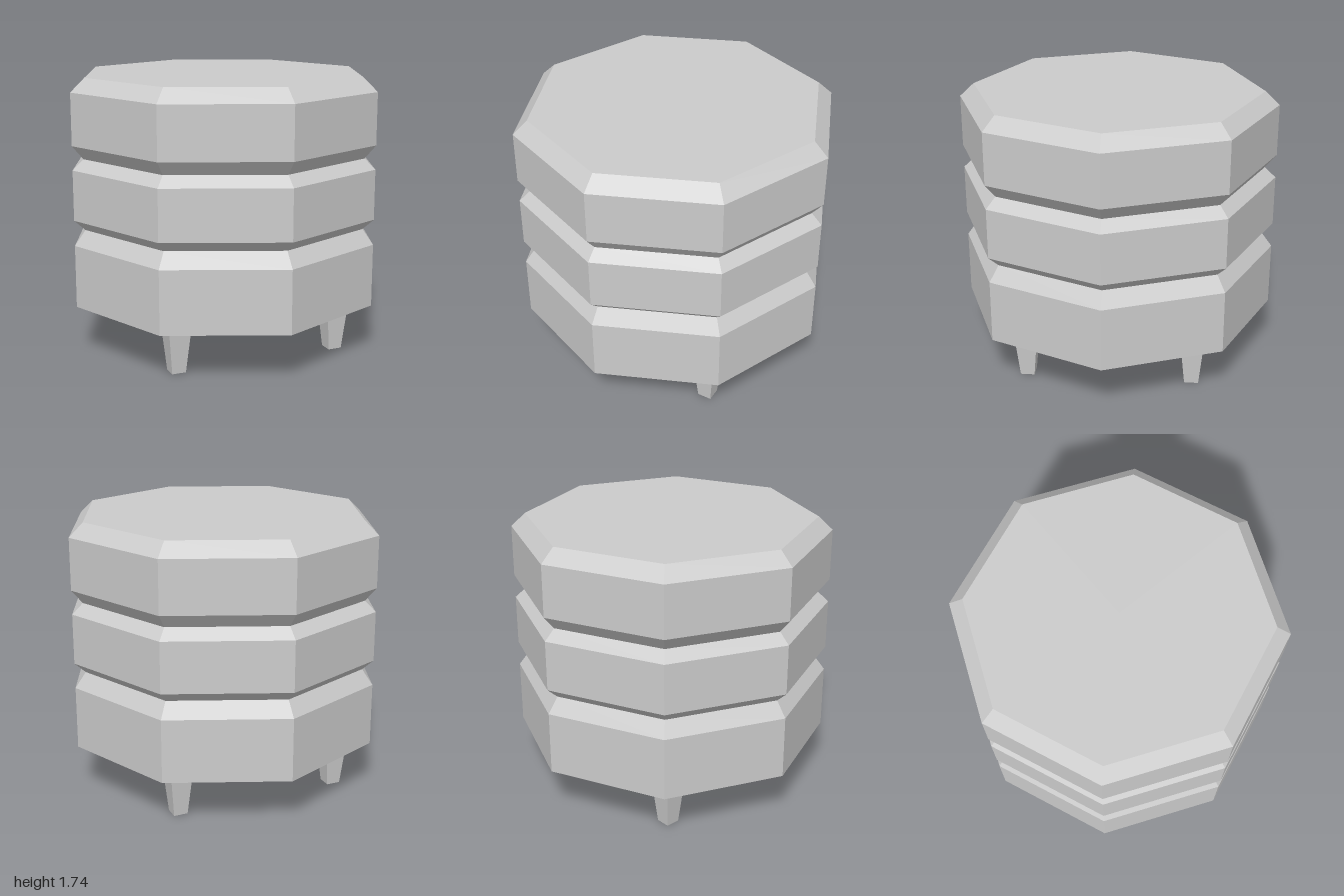
import * as THREE from 'three';

export function createModel() {
  const group = new THREE.Group();
  const material = new THREE.MeshStandardMaterial({ color: 0xcccccc, flatShading: true });

  const addPart = (name, geometry) => {
    const flat = geometry.toNonIndexed();
    flat.computeVertexNormals();
    const mesh = new THREE.Mesh(flat, material);
    mesh.name = name;
    group.add(mesh);
    return mesh;
  };

  // Octagonal cushion with two pinched grooves and a bevelled top
  const profile = [
    [0, 0.31], [1, 0.31], [1, 0.705], [0.93, 0.8], [1, 0.865], [1, 1.18],
    [0.93, 1.245], [1, 1.33], [1, 1.655], [0.91, 1.74], [0, 1.74],
  ].map(([r, y]) => new THREE.Vector2(r, y));
  addPart('cushion', new THREE.LatheGeometry(profile, 8));

  // Four square tapered legs
  const legHeight = 0.31;
  const legGeometry = new THREE.CylinderGeometry(0.074 * Math.SQRT2, 0.044 * Math.SQRT2, legHeight, 4);
  legGeometry.rotateY(Math.PI / 4);
  for (const [zName, sz] of [['front', 1], ['back', -1]]) {
    for (const [xName, sx] of [['Left', 1], ['Right', -1]]) {
      addPart(`${zName}${xName}Leg`, legGeometry).position.set(sx * 0.534, legHeight / 2, sz * 0.52);
    }
  }
  return group;
}
